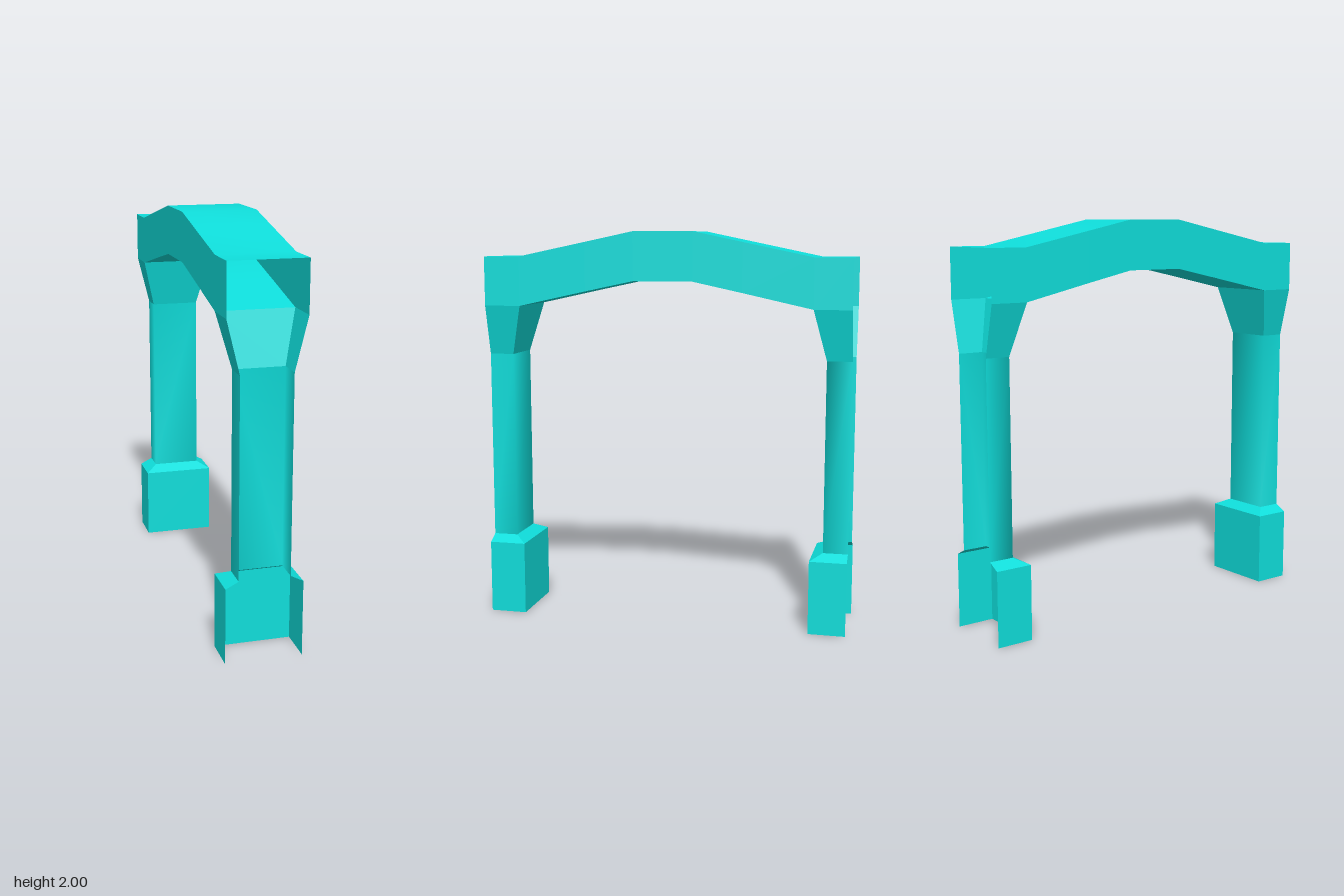
import * as THREE from 'three';

const material = new THREE.MeshStandardMaterial({ color: 0x0fdedb, side: THREE.DoubleSide });

// Open sheet spanned by two or more rows of points
function sheet(name, rows, smooth = false) {
  const n = rows[0].length;
  const index = [];
  for (let r = 0; r < rows.length - 1; r++) {
    for (let i = 0; i < n - 1; i++) {
      const a = r * n + i, b = a + 1, c = a + n, d = c + 1;
      index.push(a, c, b, b, c, d);
    }
  }
  let geometry = new THREE.BufferGeometry();
  geometry.setAttribute('position', new THREE.Float32BufferAttribute(rows.flat(2), 3));
  geometry.setIndex(index);
  if (!smooth) geometry = geometry.toNonIndexed();
  geometry.computeVertexNormals();
  const mesh = new THREE.Mesh(geometry, material);
  mesh.name = name;
  return mesh;
}

const HALF = 0.1875;   // half width of beam and base
const OUTER = 0.9375;  // open outer end
const INNER = 0.75;    // inner face of base and beam seat

// Three-sided section of a leg, open to the outside
const section = (y, x, z) => [[-x, y, OUTER], [-x, y, z], [x, y, z], [x, y, OUTER]];

function createLeg() {
  const leg = new THREE.Group();
  const foot = section(0, HALF, INNER);
  const footTop = section(0.375, HALF, INNER);
  const shaftLow = section(0.407, 0.125, 0.8125);
  const shaftTop = section(1.372, 0.125, 0.8125);
  const seat = section(1.625, HALF, INNER);
  leg.add(
    sheet('base', [foot, footTop]),
    sheet('baseBevel', [footTop, shaftLow]),
    sheet('shaft', [shaftLow, shaftTop], true),
    sheet('capital', [shaftTop, seat])
  );
  return leg;
}

function createBeam() {
  const beam = new THREE.Group();
  beam.name = 'archBeam';
  // Half profile as [z, top height, underside height], then mirrored
  const half = [[OUTER, 1.875, 1.625], [INNER, 1.875, 1.625], [0.4, 1.948, 1.702], [0.152, 2, 1.755]];
  const profile = [...half, ...half.map(([z, t, u]) => [-z, t, u]).reverse()];
  const top = (x) => profile.map(([z, t]) => [x, t, z]);
  const under = (x) => profile.map(([z, , u]) => [x, u, z]);
  beam.add(
    sheet('beamTop', [top(-HALF), top(HALF)], true),
    // The underside stops at the legs, which stay open into the beam
    sheet('beamUnderside', [under(HALF).slice(1, -1), under(-HALF).slice(1, -1)], true),
    sheet('beamRightSide', [under(-HALF), top(-HALF)]),
    sheet('beamLeftSide', [top(HALF), under(HALF)])
  );
  return beam;
}

export function createModel() {
  const model = new THREE.Group();
  model.name = 'archway';
  const frontLeg = createLeg();
  frontLeg.name = 'frontLeg';
  const backLeg = createLeg();
  backLeg.name = 'backLeg';
  backLeg.rotation.y = Math.PI;
  model.add(frontLeg, backLeg, createBeam());
  return model;
}
